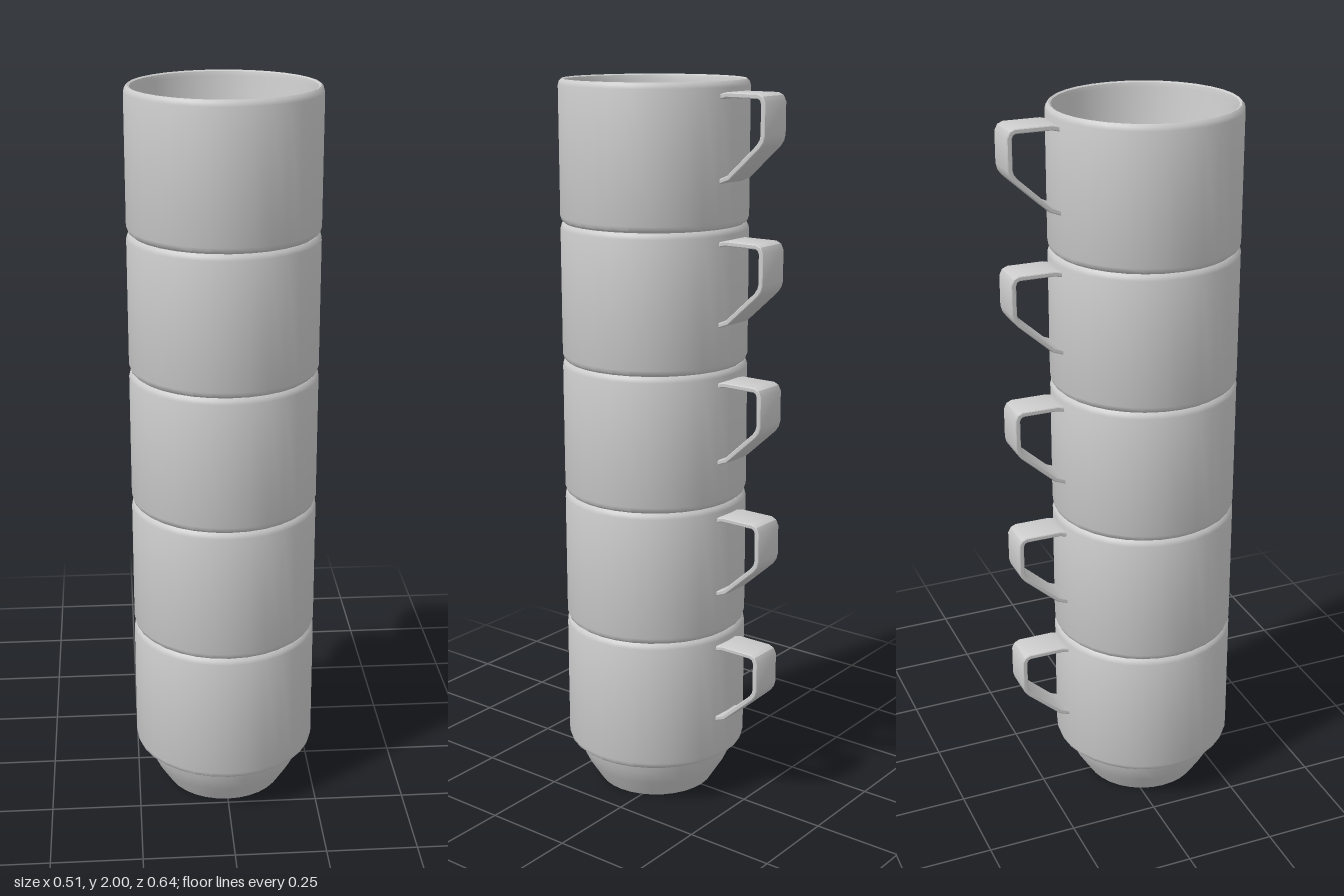
import * as THREE from 'three';
import { toCreasedNormals } from 'three/addons/utils/BufferGeometryUtils.js';

const MUGS = 5, STEP = 0.375, SEGMENTS = 32;
const AXIS_Z = 0.067; // handles stick out behind, so the bodies sit forward

const v2 = (pts) => pts.map(([a, b]) => new THREE.Vector2(a, b));

// Closed mug wall: base, tapered foot, shoulder, outer wall, rim, inner wall, floor
function bodyGeometry() {
  const profile = v2([
    [0, 0], [0.165, 0], [0.2, 0.055], [0.219, 0.095], [0.226, 0.123],
    [0.241, 0.123], [0.25, 0.13], [0.254, 0.142],
    [0.254, 0.484], [0.251, 0.494], [0.245, 0.5], [0.239, 0.497],
    [0.236, 0.485], [0.225, 0.14], [0.222, 0.132], [0, 0.132],
  ]);
  return toCreasedNormals(new THREE.LatheGeometry(profile, SEGMENTS), 0.6);
}

// Bent flat strap, drawn as distance behind the centre line against height
function handleGeometry() {
  const outer = [
    [0.18, 0.466], [0.2, 0.471], [0.297, 0.471], [0.31, 0.465], [0.317, 0.451],
    [0.317, 0.37], [0.313, 0.355], [0.303, 0.341], [0.21, 0.257], [0.18, 0.245],
  ];
  const inner = [
    [0.18, 0.253], [0.206, 0.264], [0.296, 0.346], [0.305, 0.359], [0.308, 0.371],
    [0.308, 0.449], [0.304, 0.459], [0.296, 0.463], [0.2, 0.463], [0.18, 0.458],
  ];
  const geo = new THREE.ExtrudeGeometry(new THREE.Shape(v2([...outer, ...inner])), {
    depth: 0.086, bevelEnabled: true, bevelThickness: 0.005, bevelSize: 0.003, bevelSegments: 2,
  });
  geo.translate(0, 0, -0.043);
  geo.rotateY(Math.PI / 2);
  return toCreasedNormals(geo, 0.6);
}

export function createModel() {
  const model = new THREE.Group();
  model.name = 'stackedMugs';
  const material = new THREE.MeshStandardMaterial({ color: 0xcccccc });
  const bodyGeo = bodyGeometry();
  const handleGeo = handleGeometry();

  // Each mug's foot nests in the rim of the one beneath
  for (let i = 0; i < MUGS; i++) {
    const mug = new THREE.Group();
    mug.name = `mug${i + 1}`;
    mug.position.y = i * STEP;

    const body = new THREE.Mesh(bodyGeo, material);
    body.name = 'mugBody';
    body.position.z = AXIS_Z;

    const handle = new THREE.Mesh(handleGeo, material);
    handle.name = 'handle';

    mug.add(body, handle);
    model.add(mug);
  }
  return model;
}
